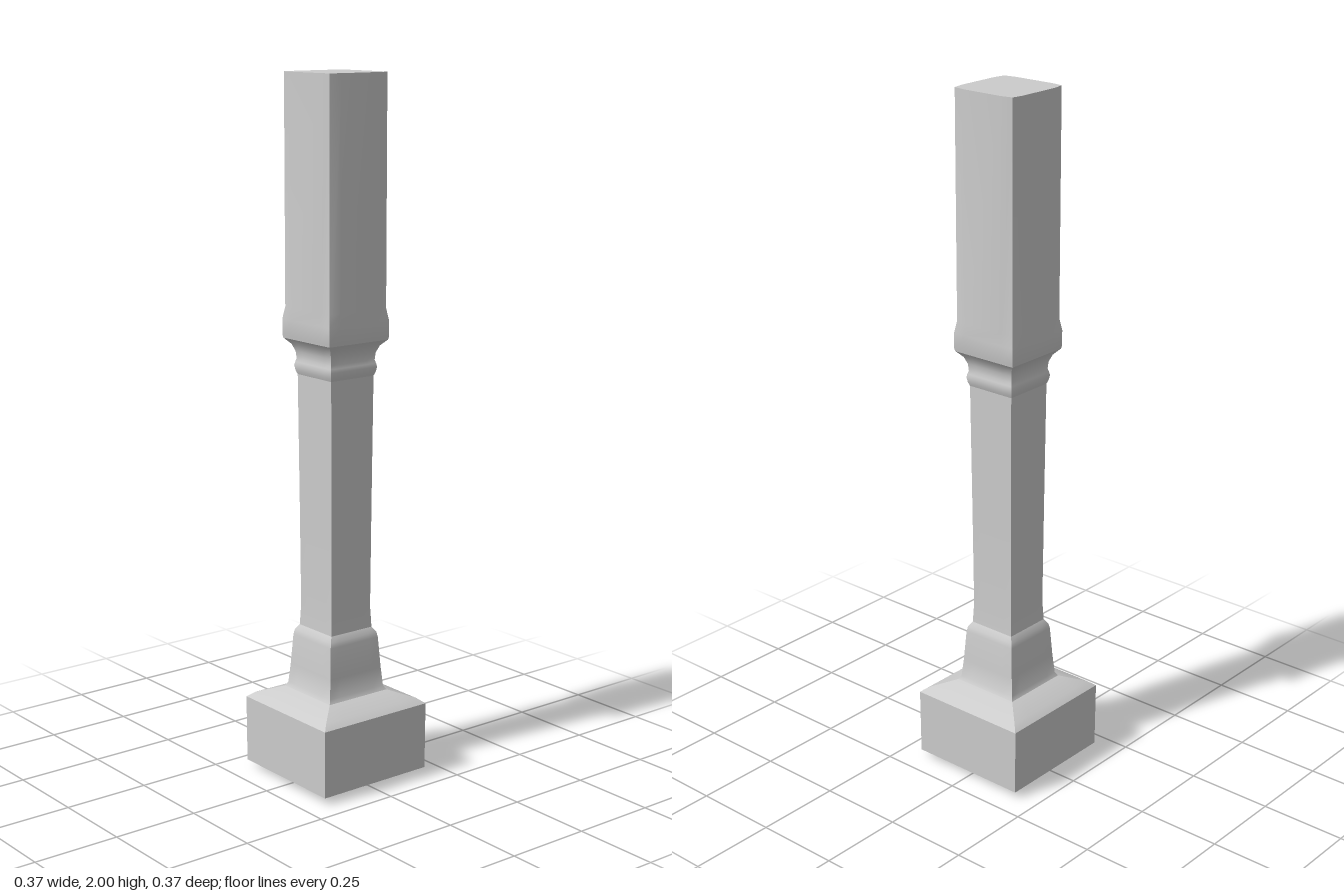
import * as THREE from 'three';
import { toCreasedNormals } from 'three/addons/utils/BufferGeometryUtils.js';

// Square ring: h = distance to the face, c = distance to the corner (c < h bows the face)
function ring([y, h, c = h]) {
  const points = [];
  for (let k = 0; k < 4; k++) {
    const a = k * Math.PI / 2;
    for (const [x, z] of [[-c, c], [-0.62 * h, h], [0.62 * h, h]]) {
      points.push([x * Math.cos(a) + z * Math.sin(a), y, z * Math.cos(a) - x * Math.sin(a)]);
    }
  }
  return points;
}

// Skin a stack of rings from bottom to top, closing either end on request
function loft(name, sections, capBottom = false, capTop = false) {
  const rings = sections.map(ring);
  const n = rings[0].length;
  const v = [];
  for (let r = 0; r < rings.length - 1; r++) {
    for (let i = 0; i < n; i++) {
      const j = (i + 1) % n;
      const [a, b, c, d] = [rings[r][i], rings[r][j], rings[r + 1][j], rings[r + 1][i]];
      v.push(...a, ...b, ...c, ...a, ...c, ...d);
    }
  }
  const bottom = rings[0], top = rings[rings.length - 1];
  for (let i = 0; i < n; i++) {
    const j = (i + 1) % n;
    if (capBottom) v.push(0, bottom[0][1], 0, ...bottom[j], ...bottom[i]);
    if (capTop) v.push(0, top[0][1], 0, ...top[i], ...top[j]);
  }
  const geometry = new THREE.BufferGeometry();
  geometry.setAttribute('position', new THREE.Float32BufferAttribute(v, 3));
  const mesh = new THREE.Mesh(
    toCreasedNormals(geometry, 0.5),
    new THREE.MeshStandardMaterial({ color: 0xcccccc })
  );
  mesh.name = name;
  return mesh;
}

export function createModel() {
  const group = new THREE.Group();
  group.name = 'post';
  group.add(
    // Heavy block with a shallow underside and a sloped shoulder
    loft('baseBlock', [[0, 0.09], [0.02, 0.183], [0.215, 0.184], [0.23, 0.165], [0.253, 0.104]], true),
    // Tapered foot flaring out at the bottom
    loft('foot', [[0.253, 0.104], [0.265, 0.097], [0.32, 0.092], [0.41, 0.086], [0.425, 0.083], [0.44, 0.073]]),
    // Long slim shaft
    loft('shaft', [[0.44, 0.073], [0.5, 0.07], [0.8, 0.072], [1.17, 0.075]]),
    // Small bead and hollow under the collar
    loft('neckMoulding', [[1.17, 0.075], [1.18, 0.079], [1.195, 0.082], [1.205, 0.08], [1.215, 0.077],
      [1.235, 0.079], [1.255, 0.087], [1.272, 0.103]]),
    // Square collar that turns into a post with bowed faces
    loft('upperPost', [[1.272, 0.103], [1.28, 0.105], [1.325, 0.105], [1.36, 0.105, 0.099], [2, 0.105, 0.099]], false, true)
  );
  return group;
}
